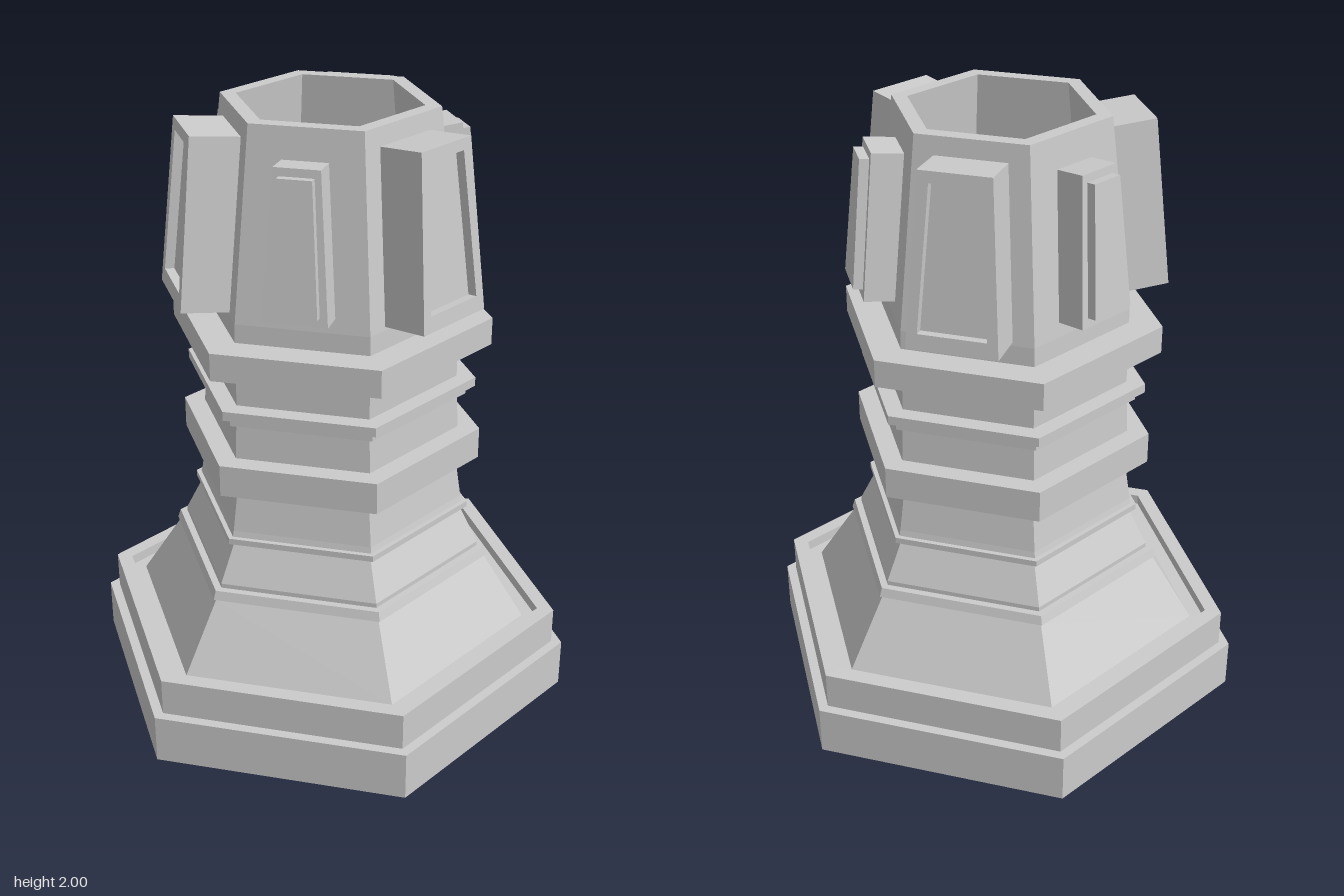
import * as THREE from 'three';

const material = new THREE.MeshStandardMaterial({ color: 0xcccccc, flatShading: true });
const TILT = 0.1; // lean of the tower's upper walls

function addMesh(parent, name, geometry) {
  const flat = geometry.index ? geometry.toNonIndexed() : geometry;
  flat.computeVertexNormals();
  const mesh = new THREE.Mesh(flat, material);
  mesh.name = name;
  parent.add(mesh);
  return mesh;
}

// Six-sided lathe with corners on the z axis; points are [corner radius, height]
function hexLathe(points) {
  return new THREE.LatheGeometry(points.map(([r, y]) => new THREE.Vector2(r, y)), 6);
}

function trapezoid(PathType, bottomHalf, topHalf, y0, y1) {
  const path = new PathType();
  path.moveTo(-bottomHalf, y0);
  path.lineTo(bottomHalf, y0);
  path.lineTo(topHalf, y1);
  path.lineTo(-topHalf, y1);
  path.closePath();
  return path;
}

// Slab whose front face lies at z = front
function slab(shape, front, depth) {
  return new THREE.ExtrudeGeometry(shape, { depth, bevelEnabled: false })
    .translate(0, 0, front - depth);
}

// Holder that lies parallel to one upper wall
function wallMount(parent, name, angle) {
  const turn = new THREE.Group();
  turn.name = name;
  turn.rotation.y = angle;
  const lean = new THREE.Group();
  lean.position.set(0, 1.68, 0.332);
  lean.rotation.x = -TILT;
  turn.add(lean);
  parent.add(turn);
  return lean;
}

export function createModel() {
  const model = new THREE.Group();
  model.name = 'hexagonalTower';

  // Stepped base, sunken trough, flared skirt, banded shaft and hollow top
  addMesh(model, 'towerBody', hexLathe([
    [0, 0], [0.81, 0], [0.81, 0.165], [0.775, 0.165], [0.775, 0.29],
    [0.72, 0.29], [0.72, 0.255], [0.67, 0.255],
    [0.53, 0.475], [0.54, 0.48], [0.53, 0.51], [0.505, 0.51], [0.505, 0.525],
    [0.44, 0.655], [0.465, 0.655], [0.465, 0.675], [0.448, 0.675], [0.443, 0.695],
    [0.42, 0.845], [0.495, 0.845], [0.495, 0.95], [0.425, 0.95],
    [0.418, 1.07], [0.445, 1.07], [0.445, 1.1], [0.475, 1.1], [0.475, 1.13], [0.415, 1.13],
    [0.415, 1.25], [0.52, 1.25], [0.52, 1.34], [0.415, 1.34],
    [0.413, 1.4], [0.34, 2], [0.29, 2], [0.318, 1.78], [0, 1.78],
  ]));

  for (let i = 0; i < 3; i++) {
    const angle = Math.PI / 6 + i * Math.PI * 2 / 3;

    // Large block with a recessed window
    const large = wallMount(model, 'largePanel', angle);
    const frame = trapezoid(THREE.Shape, 0.14, 0.11, -0.27, 0.265);
    addMesh(large, 'panelBlock', slab(frame, 0.118, 0.13));
    const rim = trapezoid(THREE.Shape, 0.14, 0.11, -0.27, 0.265);
    rim.holes.push(trapezoid(THREE.Path, 0.105, 0.075, -0.22, 0.23));
    addMesh(large, 'panelRim', slab(rim, 0.148, 0.03));

    // Small block with a raised plate
    const small = wallMount(model, 'smallPanel', angle + Math.PI / 3);
    addMesh(small, 'panelBlock', slab(trapezoid(THREE.Shape, 0.1, 0.07, -0.235, 0.225), 0.093, 0.105));
    addMesh(small, 'raisedPlate', slab(trapezoid(THREE.Shape, 0.075, 0.052, -0.205, 0.2), 0.123, 0.03));
  }
  return model;
}
